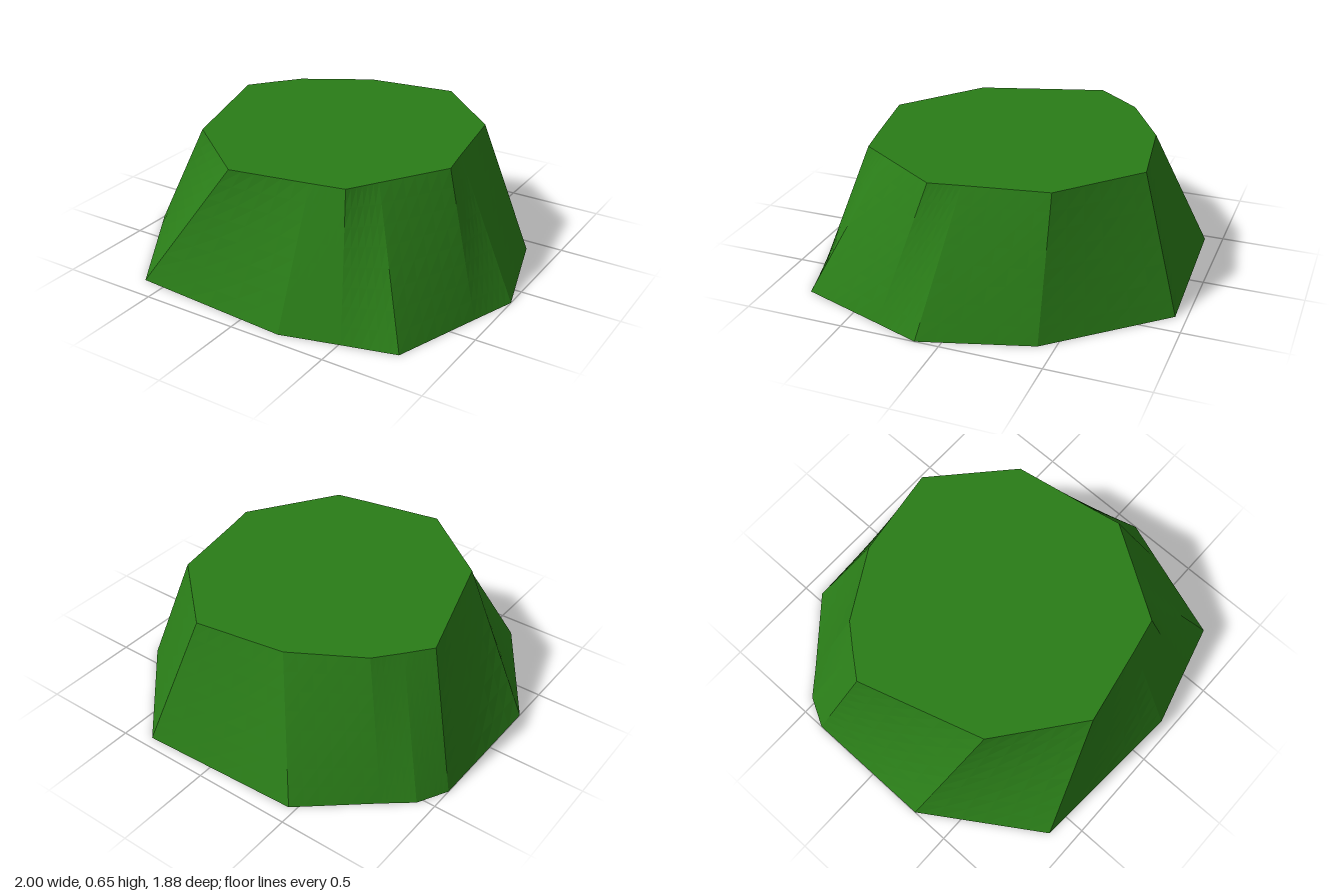
import * as THREE from 'three';

const HEIGHT = 0.65;

// Matching outline points: [base x, base z, top x, top z], clockwise seen from above
const RAILS = [
  [0.37, -0.945, 0.21, -0.73],
  [0.84, -0.42, 0.58, -0.39],
  [1.0, 0.12, 0.65, 0.02],
  [0.92, 0.35, 0.68, 0.18],
  [0.77, 0.79, 0.48, 0.49],
  [0.51, 0.86, 0.39, 0.63],
  [0.22, 0.94, 0.22, 0.665],
  [-0.62, 0.885, -0.18, 0.74],
  [-1.0, 0.3, -0.59, 0.42],
  [-1.0, -0.38, -0.785, -0.22],
  [-0.92, -0.53, -0.69, -0.34],
  [-0.79, -0.635, -0.59, -0.46],
  [-0.465, -0.91, -0.25, -0.66],
];

function geometryFrom(triangles) {
  const geometry = new THREE.BufferGeometry().setFromPoints(triangles);
  geometry.computeVertexNormals();
  return geometry;
}

// Ruled wall between the two outlines, split finely so twisted panels stay even
function wallGeometry(steps = 6, layers = 8) {
  const out = [];
  RAILS.forEach((a, i) => {
    const b = RAILS[(i + 1) % RAILS.length];
    const at = (s, t) => {
      const r = a.map((v, k) => THREE.MathUtils.lerp(v, b[k], s / steps));
      const h = t / layers;
      return new THREE.Vector3(
        THREE.MathUtils.lerp(r[0], r[2], h), HEIGHT * h, THREE.MathUtils.lerp(r[1], r[3], h));
    };
    for (let s = 0; s < steps; s++) {
      for (let t = 0; t < layers; t++) {
        const p = at(s, t), q = at(s + 1, t), u = at(s, t + 1), v = at(s + 1, t + 1);
        out.push(p, u, q, q, u, v);
      }
    }
  });
  return geometryFrom(out);
}

// Flat cap as a fan around the centre
function capGeometry(k, y, up) {
  const out = [];
  const centre = new THREE.Vector3(0, y, 0);
  const points = RAILS.map((r) => new THREE.Vector3(r[k], y, r[k + 1]));
  points.forEach((p, i) => {
    const q = points[(i + 1) % points.length];
    out.push(centre, up ? q : p, up ? p : q);
  });
  return geometryFrom(out);
}

export function createModel() {
  const group = new THREE.Group();
  group.name = 'moundBlock';
  const material = new THREE.MeshStandardMaterial({ color: 0x2a7d18, flatShading: true });
  const add = (name, geometry) => {
    const mesh = new THREE.Mesh(geometry, material);
    mesh.name = name;
    group.add(mesh);
  };
  add('slopedWall', wallGeometry());
  add('topFace', capGeometry(2, HEIGHT, true));
  add('baseFace', capGeometry(0, 0, false));
  return group;
}
